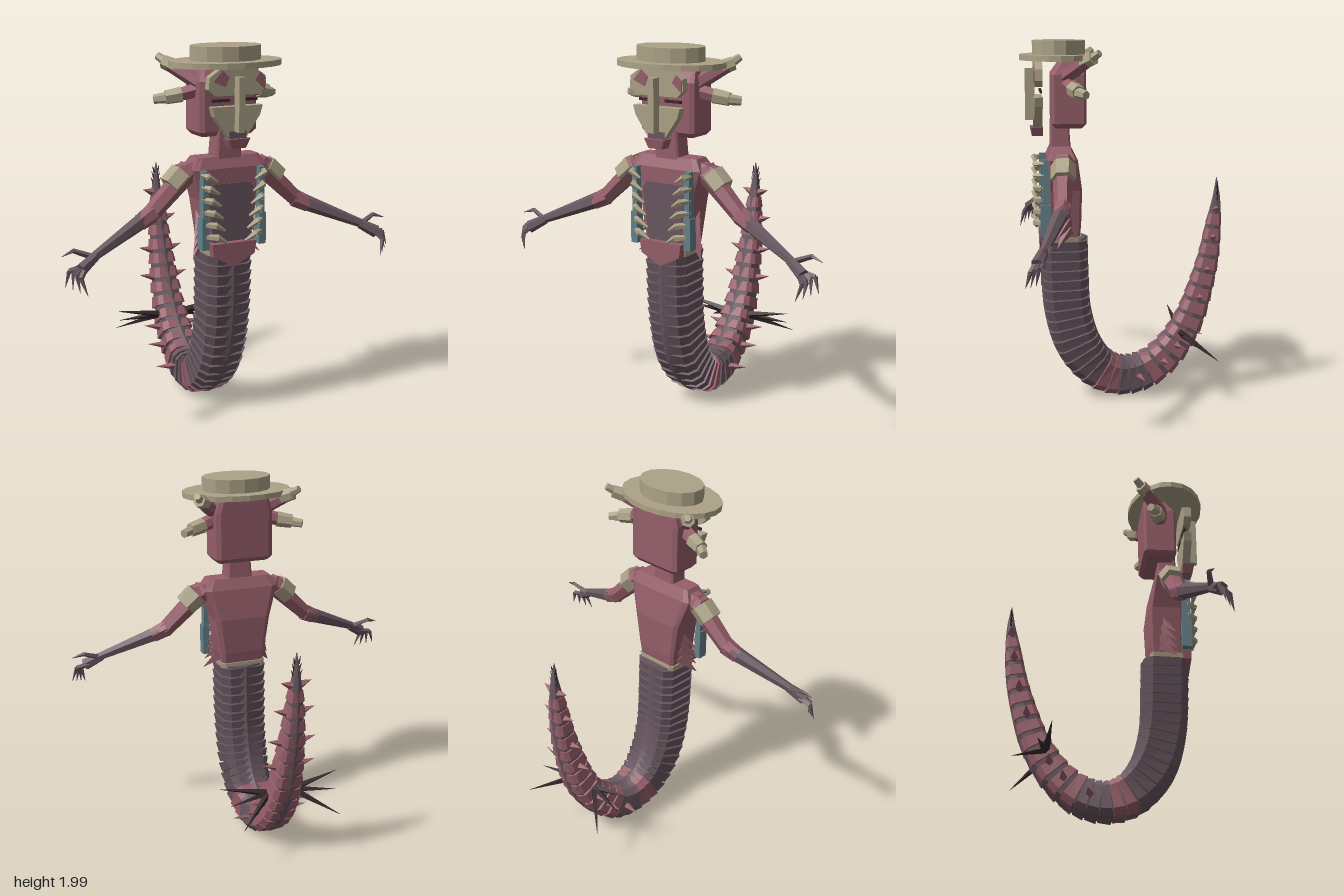
import * as THREE from 'three';

const paint = (name, color) => {
  const m = new THREE.MeshStandardMaterial({ color });
  m.name = name;
  return m;
};
const V = (x, y, z) => new THREE.Vector3(x, y, z);

export function createModel() {
  const model = new THREE.Group();
  model.name = 'serpentFigure';
  const rose = paint('dusty rose', 0x965f6a);
  const plum = paint('dark plum', 0x695760);
  const bone = paint('bone', 0xaca287);
  const teal = paint('slate teal', 0x64818a);
  const dark = paint('near black', 0x35282d);

  const add = (name, geo, mat) => {
    const g = geo.index ? geo.toNonIndexed() : geo;
    g.computeVertexNormals(); // faceted look
    const mesh = new THREE.Mesh(g, mat);
    mesh.name = name;
    model.add(mesh);
    return mesh;
  };

  // Closed solid through convex rings, turned outward by its signed volume
  const loft = (rings) => {
    const tris = [];
    const n = rings[0].length;
    for (let r = 0; r + 1 < rings.length; r++) {
      const a = rings[r], b = rings[r + 1];
      for (let i = 0; i < n; i++) {
        const j = (i + 1) % n;
        tris.push([a[i], a[j], b[j]], [a[i], b[j], b[i]]);
      }
    }
    const end = rings[rings.length - 1];
    for (let i = 1; i + 1 < n; i++) {
      tris.push([rings[0][0], rings[0][i + 1], rings[0][i]], [end[0], end[i], end[i + 1]]);
    }
    const o = rings[0][0];
    let volume = 0;
    for (const [a, b, c] of tris) {
      volume += a.clone().sub(o).dot(b.clone().sub(o).cross(c.clone().sub(o)));
    }
    const pts = tris.flatMap(([a, b, c]) => (volume < 0 ? [a, c, b] : [a, b, c]));
    return new THREE.BufferGeometry().setFromPoints(pts);
  };

  // Horizontal chamfered ring: half width w, from z0 (back) to z1 (front)
  const ring = (y, w, z0, z1, k = 0.85) => {
    const m = (z0 + z1) / 2, h = (z1 - z0) / 2;
    return [[k, 1], [1, k], [1, -k], [k, -1], [-k, -1], [-1, -k], [-1, k], [-k, 1]]
      .map(([x, z]) => V(x * w, y, m + z * h));
  };

  // Tapered rod between two points
  const strut = (name, a, b, ra, rb, mat, sides = 6) => {
    const dir = b.clone().sub(a);
    const geo = new THREE.CylinderGeometry(rb, ra, dir.length(), sides);
    geo.applyQuaternion(new THREE.Quaternion().setFromUnitVectors(V(0, 1, 0), dir.normalize()));
    geo.translate((a.x + b.x) / 2, (a.y + b.y) / 2, (a.z + b.z) / 2);
    return add(name, geo, mat);
  };
  const box = (name, w, h, d, x, y, z, mat) =>
    add(name, new THREE.BoxGeometry(w, h, d).translate(x, y, z), mat);
  // Upright plate from an outline, from z to z + depth
  const plate = (name, outline, z, depth, mat) => {
    const shape = new THREE.Shape(outline.map(([x, y]) => new THREE.Vector2(x, y)));
    return add(name, new THREE.ExtrudeGeometry(shape, { depth, bevelEnabled: false }).translate(0, 0, z), mat);
  };
  const disc = (name, rx, rz, y0, y1, sides) => add(name,
    new THREE.CylinderGeometry(1, 1, y1 - y0, sides).scale(rx, 1, rz).translate(0, (y0 + y1) / 2, 0.34), bone);

  // Hat, head, neck and torso
  disc('hatBrim', 0.31, 0.213, 1.895, 1.925, 20);
  disc('hatCrown', 0.195, 0.143, 1.925, 2, 14);
  add('head', loft([ring(1.535, 0.145, 0.22, 0.365), ring(1.56, 0.165, 0.2, 0.385),
    ring(1.82, 0.165, 0.2, 0.385), ring(1.897, 0.14, 0.2, 0.33)]), rose);
  add('neck', loft([ring(1.4, 0.075, 0.28, 0.39), ring(1.57, 0.065, 0.29, 0.39)]), rose);
  add('torso', loft([ring(0.92, 0.12, 0.24, 0.4), ring(1.0, 0.13, 0.23, 0.41), ring(1.2, 0.16, 0.225, 0.41),
    ring(1.37, 0.215, 0.25, 0.41), ring(1.43, 0.18, 0.28, 0.385)]), rose);
  plate('bellyPanel', [[-0.1, 0.98], [0.1, 0.98], [0.135, 1.25], [0.11, 1.29], [-0.11, 1.29], [-0.135, 1.25]], 0.408, 0.008, plum);
  plate('pelvisPlate', [[-0.13, 0.98], [-0.12, 0.91], [0, 0.85], [0.12, 0.91], [0.13, 0.98]], 0.4, 0.055, rose);
  add('waistBand', loft([ring(0.905, 0.125, 0.23, 0.42), ring(0.94, 0.13, 0.23, 0.42)]), bone);

  // Floating mask, centre pieces
  box('maskNose', 0.035, 0.28, 0.052, 0, 1.71, 0.498, bone);
  box('maskLip', 0.1, 0.045, 0.03, 0, 1.55, 0.465, plum);
  add('maskChin', loft([ring(1.485, 0.045, 0.43, 0.49), ring(1.535, 0.065, 0.43, 0.5)]), rose);

  for (const s of [1, -1]) {
    const P = (x, y, z) => V(s * x, y, z);
    const flip = (outline) => outline.map(([x, y]) => [s * x, y]);

    // Mask halves
    plate('maskBrow', flip([[0, 1.755], [0.125, 1.755], [0.165, 1.79], [0.16, 1.85], [0.09, 1.897], [0, 1.897]]), 0.432, 0.042, bone);
    plate('maskCheek', flip([[0, 1.7], [0.145, 1.7], [0.13, 1.65], [0.045, 1.53], [0, 1.53]]), 0.432, 0.045, bone);
    plate('maskPatch', s > 0 ? [[0.1, 1.83], [0.155, 1.78], [0.16, 1.84], [0.125, 1.87]]
      : [[-0.14, 1.83], [-0.07, 1.8], [-0.05, 1.85], [-0.09, 1.885]], 0.474, 0.005, rose);
    box('maskEye', 0.1, 0.014, 0.012, s * 0.08, 1.728, 0.44, dark);

    // Four ear stalks with bone cuffs
    strut('upperEar', P(0.12, 1.8, 0.32), P(0.25, 1.895, 0.2), 0.045, 0.035, rose);
    strut('upperEarCuff', P(0.225, 1.885, 0.22), P(0.275, 1.91, 0.17), 0.04, 0.036, bone);
    strut('upperEarTip', P(0.265, 1.91, 0.18), P(0.295, 1.94, 0.14), 0.025, 0.02, bone);
    strut('lowerEar', P(0.12, 1.775, 0.3), P(0.25, 1.745, 0.27), 0.045, 0.035, rose);
    strut('lowerEarCuff', P(0.22, 1.75, 0.275), P(0.3, 1.735, 0.25), 0.043, 0.038, bone);
    strut('lowerEarTip', P(0.29, 1.735, 0.255), P(0.35, 1.725, 0.215), 0.03, 0.024, bone);

    // Arm
    strut('shoulder', P(0.12, 1.38, 0.33), P(0.26, 1.34, 0.33), 0.05, 0.06, rose);
    strut('upperArm', P(0.2, 1.37, 0.33), P(0.44, 1.145, 0.345), 0.06, 0.045, rose);
    strut('armBand', P(0.245, 1.35, 0.33), P(0.315, 1.285, 0.335), 0.068, 0.066, bone);
    strut('elbow', P(0.42, 1.16, 0.343), P(0.5, 1.12, 0.362), 0.05, 0.044, rose);
    strut('forearm', P(0.46, 1.14, 0.35), P(0.8, 0.995, 0.46), 0.045, 0.023, plum);
    strut('palm', P(0.78, 1.0, 0.455), P(0.87, 0.95, 0.49), 0.026, 0.035, plum);
    strut('thumb', P(0.8, 1.0, 0.45), P(0.89, 1.035, 0.425), 0.016, 0.012, plum, 4);
    strut('thumbClaw', P(0.885, 1.035, 0.427), P(0.95, 1.015, 0.44), 0.012, 0.002, plum, 4);
    for (let i = 0; i < 4; i++) {
      const knuckle = P(0.885 + 0.013 * i, 0.915 + 0.01 * i, 0.525 - 0.02 * i);
      strut('finger', P(0.85, 0.96, 0.495 - 0.01 * i), knuckle, 0.015, 0.013, plum, 4);
      strut('fingerClaw', knuckle, P(0.86 + 0.03 * i, 0.83 + 0.012 * i, 0.55 - 0.025 * i), 0.013, 0.001, plum, 4);
    }

    // Chest pillar with curved ribs, hip spikes
    box('chestPillar', 0.03, 0.41, 0.045, s * 0.165, 1.165, 0.425, teal);
    box('chestPillarFoot', 0.04, 0.17, 0.055, s * 0.168, 1.04, 0.425, teal);
    for (let i = 0; i < 6; i++) {
      const y = 1.35 - 0.065 * i, x = 0.165 - 0.011 * i;
      strut('ribBase', P(0.175, y, 0.43), P(x - 0.005, y - 0.005, 0.48), 0.014, 0.019, bone, 5);
      strut('ribTip', P(x + 0.005, y, 0.475), P(x - 0.055, y - 0.035, 0.47), 0.019, 0.007, bone, 5);
    }
    for (let i = 0; i < 4; i++) {
      const y = 0.89 + 0.05 * i;
      strut('hipSpike', P(0.12, y + 0.09, 0.3), P(0.2 - 0.006 * i, y, 0.365), 0.035, 0.001, rose, 4);
    }
  }

  // Tail path: y and z are the centre line, x holds the local thickness
  const path = new THREE.CatmullRomCurve3([
    V(0.26, 0.92, 0.32), V(0.26, 0.7, 0.315), V(0.255, 0.5, 0.3), V(0.25, 0.3, 0.24), V(0.23, 0.165, 0.13),
    V(0.21, 0.115, 0), V(0.2, 0.145, -0.14), V(0.185, 0.25, -0.27), V(0.165, 0.42, -0.38), V(0.14, 0.62, -0.45),
    V(0.115, 0.8, -0.495), V(0.085, 0.98, -0.52), V(0.045, 1.12, -0.535), V(0.004, 1.24, -0.535)]);
  path.arcLengthDivisions = 600;
  const tailRing = (u, outline, scale = 1) => {
    const c = path.getPointAt(u), t = path.getTangentAt(u);
    const normal = V(0, t.z, -t.y).normalize();
    return outline.map(([x, n]) => V(x * c.x * scale / 2, c.y, c.z).addScaledVector(normal, n * c.x * scale / 2));
  };
  const coreOutline = [[0, 1.02], [0.75, 0.74], [0.87, 0], [0.75, -0.74], [0, -1.02], [-0.75, -0.74], [-0.87, 0], [-0.75, 0.74]];
  const coreRings = [];
  for (let i = 0; i <= 44; i++) coreRings.push(tailRing(i / 44, coreOutline));
  add('tailCore', loft(coreRings), plum);

  // Paired armour plates: close-set in front, wider apart behind
  const plates = [];
  for (let u = 0.004; u < 0.465; u += 0.0235) plates.push([u, 0.0205, u > 0.355 && u < 0.4 ? rose : plum]);
  for (let u = 0.475; u < 0.91; u += 0.037) plates.push([u, 0.026, rose]);
  for (const [u, len, mat] of plates) {
    for (const s of [1, -1]) {
      const half = [[0.07, 0.97], [0.7, 0.92], [1, 0.6], [1, -0.6], [0.7, -0.92], [0.07, -0.97]].map(([x, n]) => [s * x, n]);
      add('tailPlate', loft([tailRing(u, half, 1.03), tailRing(u + len, half, 0.96)]), mat);
    }
  }

  // Side spikes, small ones along the rear and a long fan low down
  for (const s of [1, -1]) {
    for (const u of [0.45, 0.52, 0.57, 0.7, 0.77, 0.85, 0.92]) {
      const c = path.getPointAt(u), t = path.getTangentAt(u);
      const w = c.x / 2;
      strut('tailSpike', V(s * w * 0.85, c.y, c.z),
        V(s * (w + 0.035 + w * 0.6), c.y + t.y * 0.02, c.z + t.z * 0.02), 0.024, 0.001, rose, 4);
    }
    for (const [x, y, z] of [[0.35, 0.43, -0.31], [0.31, 0.35, -0.38], [0.28, 0.26, -0.51]]) {
      strut('longSpike', V(s * 0.07, 0.37, -0.33), V(s * x, y, z), 0.022, 0.001, dark, 4);
    }
    for (let i = 0; i < 3; i++) {
      strut('tipBarb', V(s * 0.01, 1.1 + 0.04 * i, -0.535), V(s * (0.032 - 0.006 * i), 1.15 + 0.035 * i, -0.54), 0.008, 0.001, dark, 4);
    }
  }
  return model;
}
